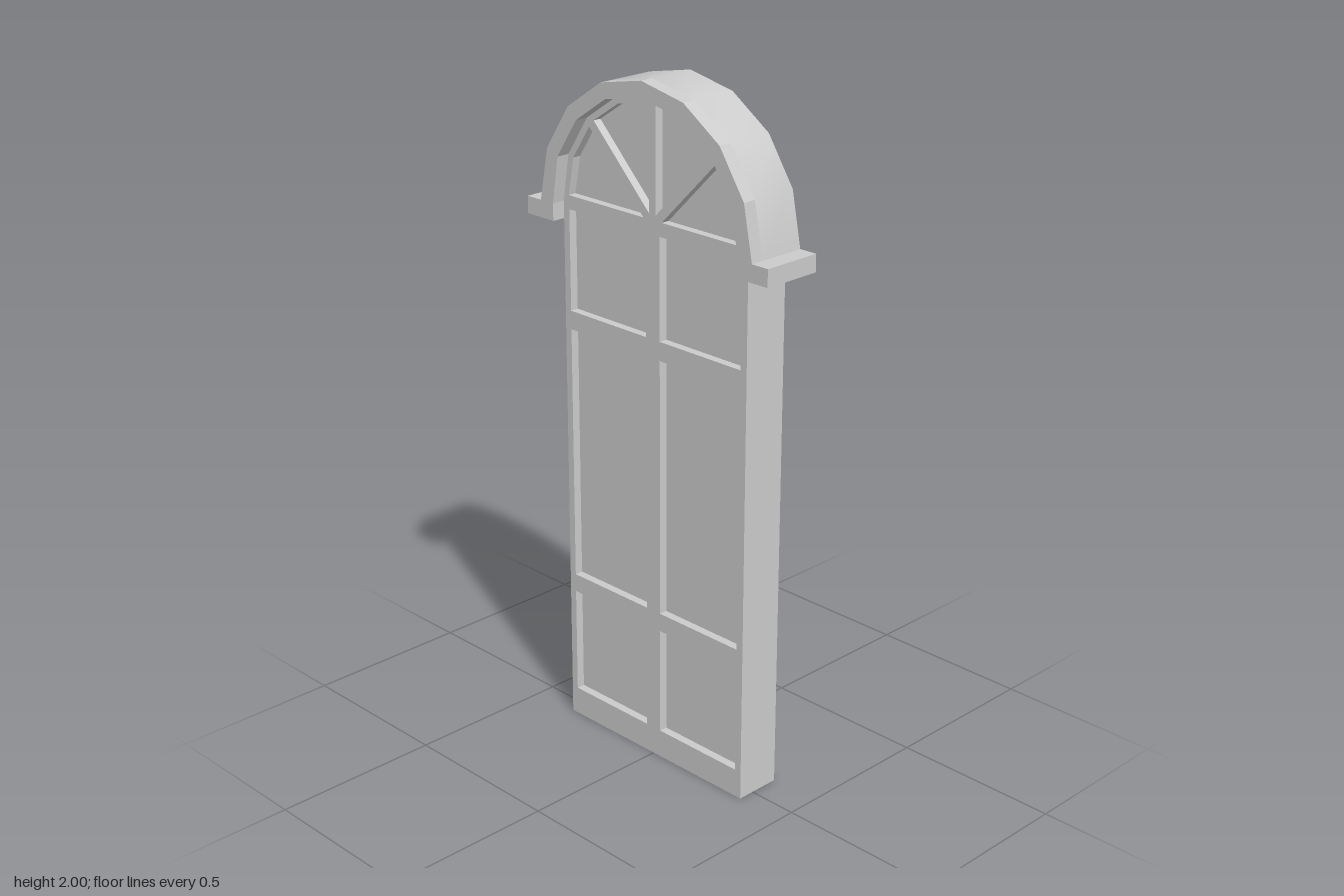
import * as THREE from 'three';
import { mergeVertices } from 'three/addons/utils/BufferGeometryUtils.js';

const SPRING = 1.6, BACK = -0.09, FACE = 0.05, FRONT = 0.09, PANE = 0.025;

const material = new THREE.MeshStandardMaterial({ color: 0xcccccc, side: THREE.DoubleSide });
const toV = (pts) => pts.map(([x, y]) => new THREE.Vector2(x, y));
const mirror = (pts) => pts.map(([x, y]) => [-x, y]);

// Half circle in eight straight segments, from +x over the top to -x
function arch(r) {
  const pts = [];
  for (let i = 0; i <= 8; i++) {
    const a = (i * Math.PI) / 8;
    pts.push([r * Math.cos(a), SPRING + r * Math.sin(a)]);
  }
  return pts;
}

// Flat sheet facing the front
function sheet(outline, z, holes = []) {
  const shape = new THREE.Shape(toV(outline));
  holes.forEach((h) => shape.holes.push(new THREE.Path(toV(h))));
  return new THREE.ShapeGeometry(shape).translate(0, 0, z);
}

// Ribbon running along a path between two depths
function ribbon(path, z0, z1, { closed = false, smooth = false } = {}) {
  const pts = closed ? [...path, path[0]] : path;
  const pos = [];
  for (let i = 0; i < pts.length - 1; i++) {
    const [ax, ay] = pts[i], [bx, by] = pts[i + 1];
    pos.push(ax, ay, z1, ax, ay, z0, bx, by, z0);
    pos.push(ax, ay, z1, bx, by, z0, bx, by, z1);
  }
  let g = new THREE.BufferGeometry();
  g.setAttribute('position', new THREE.Float32BufferAttribute(pos, 3));
  if (smooth) g = mergeVertices(g);
  g.computeVertexNormals();
  return g;
}

export function createModel() {
  const model = new THREE.Group();
  const add = (parent, name, geometry) => {
    const mesh = new THREE.Mesh(geometry, material);
    mesh.name = name;
    parent.add(mesh);
  };
  const rect = (y0, y1) => [[0.027, y0], [0.328, y0], [0.328, y1], [0.027, y1]];

  // Pane outlines on the +x side: three rectangles and two fan sections
  const half = {
    lowerPane: rect(0.085, 0.41),
    middlePane: rect(0.465, 1.23),
    upperPane: rect(1.285, 1.58),
    outerFanPane: [[0.035, 1.62], [0.33, 1.62], [0.308, 1.73], [0.243, 1.828]],
    innerFanPane: [[0.012, 1.635], [0.225, 1.848], [0.13, 1.91], [0.012, 1.94]],
  };
  const panes = [];
  for (const [name, pts] of Object.entries(half)) {
    panes.push([name + 'Left', pts], [name + 'Right', mirror(pts).reverse()]);
  }

  // Front sheet of the window with openings for the panes
  const windowGroup = new THREE.Group();
  windowGroup.name = 'window';
  model.add(windowGroup);
  const innerArch = arch(0.355);
  innerArch[0][0] = 0.35;
  innerArch[8][0] = -0.35;
  const outline = [[-0.35, 0], [0.35, 0], ...innerArch];
  add(windowGroup, 'frameFace', sheet(outline, FACE, panes.map((p) => p[1])));

  // Recessed panes and their reveals
  for (const [name, pts] of panes) {
    add(windowGroup, name, sheet(pts, PANE));
    add(windowGroup, name + 'Reveal', ribbon(pts, PANE, FACE, { closed: true }));
  }

  // Side walls and sill, open at the back
  add(windowGroup, 'frameWalls',
    ribbon([[-0.35, 1.55], [-0.35, 0], [0.35, 0], [0.35, 1.55]], BACK, FACE));

  // Arched hood with a stepped foot at each side, open at the back
  const hood = new THREE.Group();
  hood.name = 'hood';
  model.add(hood);
  const outerArch = arch(0.4);
  const foot = [[0.35, 1.55], [0.455, 1.55], [0.455, SPRING], [0.4, SPRING]];
  const inner = [[0.35, 1.55], ...innerArch, [-0.35, 1.55]];
  add(hood, 'hoodFace', sheet(
    [...foot, ...outerArch.slice(1, -1), ...mirror(foot).reverse(), ...innerArch.slice().reverse()], FRONT));
  add(hood, 'hoodSoffit', ribbon(inner, FACE, FRONT));
  add(hood, 'hoodFrontEdge', ribbon(outerArch, FACE, FRONT));
  add(hood, 'hoodShell', ribbon(outerArch, BACK, FACE, { smooth: true }));
  add(hood, 'footLeft', ribbon(foot, BACK, FRONT));
  add(hood, 'footRight', ribbon(mirror(foot).reverse(), BACK, FRONT));

  return model;
}
